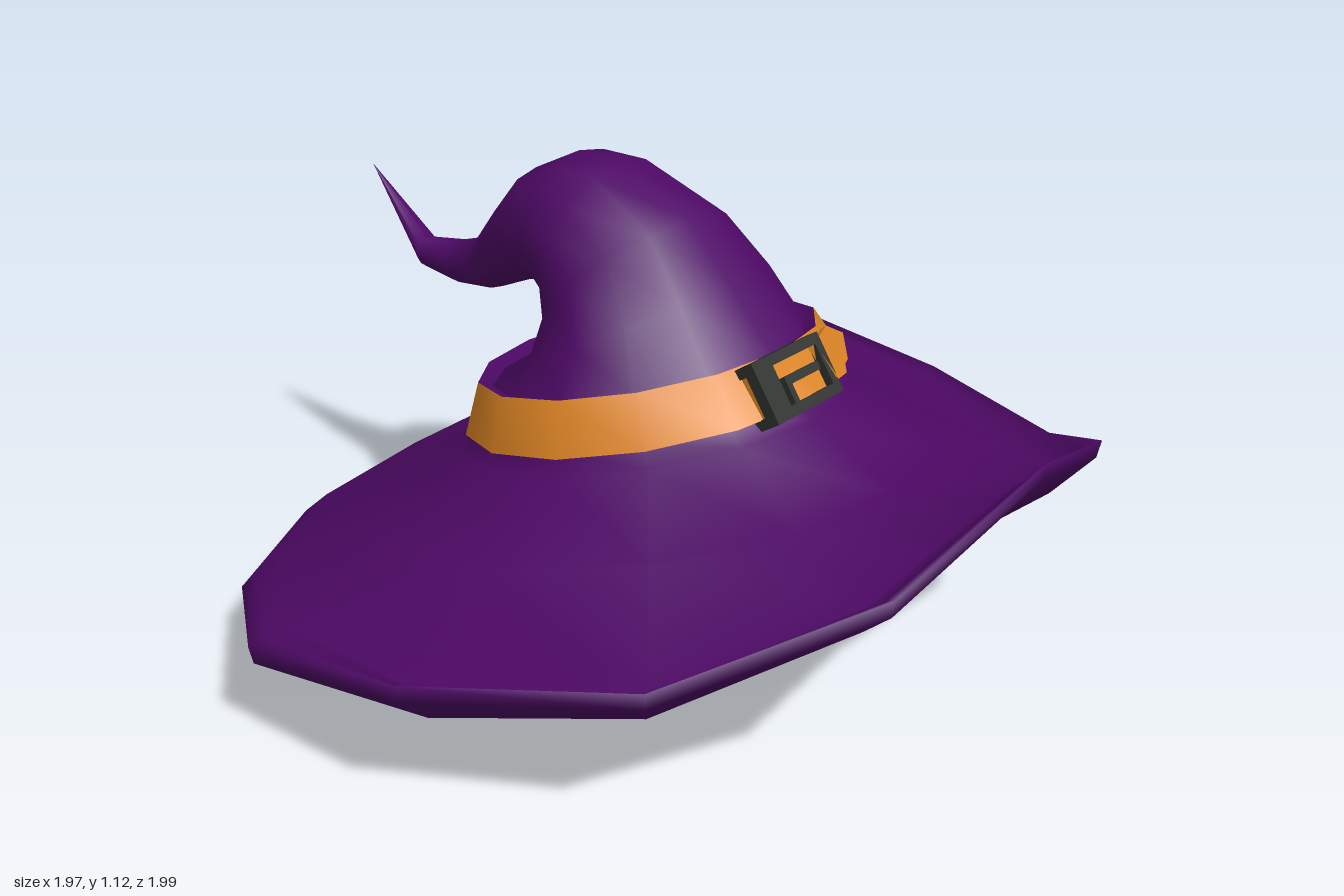
import * as THREE from 'three';
import { toCreasedNormals } from 'three/addons/utils/BufferGeometryUtils.js';

const SIDES = 14;

// Brim outline, from the back round by +x: x, z, edge height, height just inside the edge
const BRIM = [
  [0.03, -0.99, 0.045, 0.165], [0.49, -0.95, 0.12, 0.20], [0.81, -0.70, 0.25, 0.28],
  [0.985, -0.29, 0.41, 0.36], [0.965, 0.15, 0.38, 0.34], [0.755, 0.62, 0.41, 0.38],
  [0.445, 0.91, 0.60, 0.51], [0.04, 0.995, 0.73, 0.62], [-0.37, 0.92, 0.57, 0.50],
  [-0.75, 0.62, 0.42, 0.35], [-0.985, 0.17, 0.36, 0.28], [-0.985, -0.30, 0.25, 0.26],
  [-0.73, -0.67, 0.14, 0.21], [-0.38, -0.91, 0.06, 0.18],
];

// Crown cross-sections from the tip down: front z, y, back z, y, half width
const CROWN = [
  [-0.99, 0.935, -0.99, 0.935, 0],
  [-0.80, 0.78, -0.79, 0.705, 0.04],
  [-0.68, 0.80, -0.66, 0.695, 0.06],
  [-0.59, 0.83, -0.53, 0.715, 0.085],
  [-0.50, 0.94, -0.43, 0.76, 0.115],
  [-0.40, 1.05, -0.34, 0.79, 0.155],
  [-0.26, 1.12, -0.285, 0.79, 0.19],
  [-0.13, 1.12, -0.265, 0.77, 0.21],
  [0.07, 1.03, -0.25, 0.73, 0.265],
  [0.19, 0.90, -0.27, 0.67, 0.325],
  [0.30, 0.78, -0.43, 0.565, 0.385],
  [0.37, 0.69, -0.465, 0.475, 0.425],
  [0.43, 0.65, -0.50, 0.41, 0.45],
];

// Elliptical ring spanning a front and a back point
function crownRing([fz, fy, bz, by, w]) {
  return Array.from({ length: SIDES }, (_, i) => {
    const t = (i / SIDES) * Math.PI * 2;
    const f = -Math.cos(t) * 0.5;
    return [0.03 + Math.sin(t) * w, (fy + by) / 2 + f * (fy - by), (fz + bz) / 2 + f * (fz - bz)];
  });
}

function brimRing(scale, height) {
  return BRIM.map(([x, z, edge, lip]) => [x * scale, height(z * scale, edge, lip), z * scale]);
}

// Skin a list of rings with shared vertices for smooth normals
function loft(rings) {
  const index = [];
  for (let r = 0; r < rings.length - 1; r++) {
    for (let i = 0; i < SIDES; i++) {
      const j = (i + 1) % SIDES;
      const a = r * SIDES, b = a + SIDES;
      index.push(a + i, a + j, b + i, a + j, b + j, b + i);
    }
  }
  const geo = new THREE.BufferGeometry();
  geo.setAttribute('position', new THREE.Float32BufferAttribute(rings.flat(2), 3));
  geo.setIndex(index);
  geo.computeVertexNormals();
  return geo;
}

function lathe(points) {
  const profile = points.map(([r, y]) => new THREE.Vector2(r, y));
  return toCreasedNormals(new THREE.LatheGeometry(profile, SIDES), 0.6);
}

export function createModel() {
  const material = (name, color) => Object.assign(new THREE.MeshStandardMaterial({ color }), { name });
  const purple = material('purple', 0x4e0966);
  const orange = material('orange', 0xdc8424);
  const dark = material('charcoal', 0x2e312d);
  const hat = new THREE.Group();
  hat.name = 'hat';

  const add = (parent, name, geo, mat, x = 0, y = 0, z = 0) => {
    const mesh = new THREE.Mesh(geo, mat);
    mesh.name = name;
    mesh.position.set(x, y, z);
    parent.add(mesh);
    return mesh;
  };

  // Crown, rounded brim and shallow domed underside as one skin
  add(hat, 'crownAndBrim', loft([
    ...CROWN.map(crownRing),
    brimRing(0.65, (z) => 0.425 + 0.19 * z),
    brimRing(0.9, (z, edge, lip) => lip),
    brimRing(0.965, (z, edge, lip) => lip + (edge - lip) * 0.55 + 0.008),
    brimRing(1, (z, edge) => edge),
    brimRing(0.992, (z, edge) => edge - 0.043),
    brimRing(0.9, (z, edge, lip) => lip - 0.055),
    brimRing(0.65, (z) => 0.37 + 0.19 * z),
    brimRing(0.42, (z) => 0.47 + 0.22 * z),
    brimRing(0.2, (z) => 0.51 + 0.22 * z),
    brimRing(0, () => 0.52),
  ]), purple);

  // Tilted hat band with ledges closing it against the crown
  const band = new THREE.Group();
  band.name = 'hatBand';
  band.position.set(0.037, 0.632, -0.045);
  band.rotation.x = -0.245;
  hat.add(band);
  const h = 0.058;
  add(band, 'bandRing', lathe([[0.458, -h], [0.404, h]]), orange);
  add(band, 'bandLedge', lathe([[0.404, h], [0.375, h - 0.012], [0.27, h - 0.025]]), purple);
  add(band, 'bandUnderside', lathe([[0.4, -h], [0.458, -h]]), purple);

  // Pointed strap end beside the buckle
  const strap = new THREE.Shape([[-0.12, -0.046], [0.02, -0.046], [0.1, 0], [0.02, 0.046], [-0.12, 0.046]]
    .map(([x, y]) => new THREE.Vector2(x, y)));
  const end = add(band, 'strapEnd', new THREE.ExtrudeGeometry(strap, { depth: 0.02, bevelEnabled: false }),
    orange, 0.423 * Math.sin(0.46), 0, 0.423 * Math.cos(0.46));
  end.rotation.set(-0.42, 0.46, 0, 'YXZ');

  // Buckle: frame, deep top and bottom rails, crossbar and prong
  const buckle = new THREE.Group();
  buckle.name = 'buckle';
  buckle.position.set(0.02, 0.73, 0.37);
  buckle.rotation.x = -0.59;
  hat.add(buckle);
  const box = (name, mat, w, t, d, x, y, z) => add(buckle, name, new THREE.BoxGeometry(w, t, d), mat, x, y, z);
  for (const s of [-1, 1]) box('buckleRail', dark, 0.235, 0.024, 0.08, 0, s * 0.06, -0.015);
  box('buckleWideSide', dark, 0.06, 0.12, 0.03, -0.0875, 0, 0.01);
  box('buckleThinSide', dark, 0.022, 0.12, 0.03, 0.1065, 0, 0.01);
  box('buckleCrossbar', dark, 0.016, 0.06, 0.02, -0.03, -0.03, 0.012);
  box('buckleProng', dark, 0.12, 0.02, 0.02, 0.02, 0.004, 0.014);
  box('strapInBuckle', orange, 0.225, 0.1, 0.03, 0, 0, -0.012);

  return hat;
}
